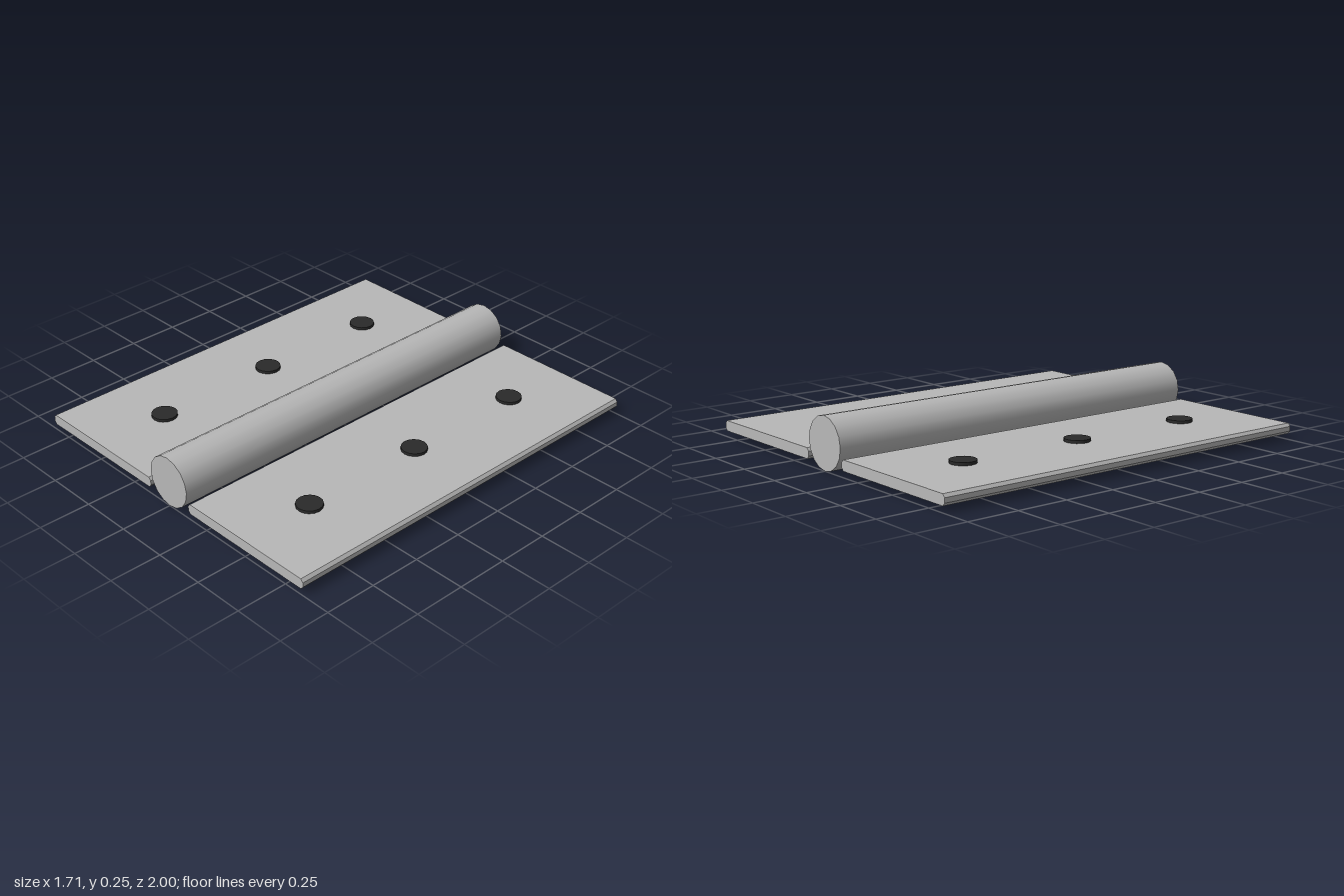
import * as THREE from 'three';

const steel = new THREE.MeshStandardMaterial({ color: 0xb8b8b8 });
steel.name = 'brushed steel';
const dark = new THREE.MeshStandardMaterial({ color: 0x2a2a2a });
dark.name = 'dark screw';

const LENGTH = 2;

// Flat leaf: chamfered cross-section run along the hinge axis
function leafGeometry() {
  const w = 0.725 / 2, h = 0.025, cx = 0.012, cy = 0.014;
  const profile = new THREE.Shape([
    [-w + cx, -h], [w - cx, -h], [w, -h + cy], [w, h - cy],
    [w - cx, h], [-w + cx, h], [-w, h - cy], [-w, -h + cy],
  ].map(([x, y]) => new THREE.Vector2(x, y)));
  const geo = new THREE.ExtrudeGeometry(profile, { depth: LENGTH, bevelEnabled: false });
  return geo.translate(0, 0, -LENGTH / 2);
}

function add(parent, name, geometry, material, x, y, z) {
  const mesh = new THREE.Mesh(geometry, material);
  mesh.name = name;
  mesh.position.set(x, y, z);
  parent.add(mesh);
  return mesh;
}

export function createModel() {
  const hinge = new THREE.Group();
  hinge.name = 'hinge';

  // Central knuckle barrel lying along z
  const barrel = new THREE.CylinderGeometry(0.123, 0.123, LENGTH, 16).rotateX(Math.PI / 2);
  add(hinge, 'barrel', barrel, steel, 0, 0.123, 0);

  // Two leaves, each with a row of three screw heads
  const leaf = leafGeometry();
  const screw = new THREE.CylinderGeometry(0.061, 0.061, 0.02, 16);
  for (const side of [-1, 1]) {
    const half = new THREE.Group();
    half.name = side > 0 ? 'leftHalf' : 'rightHalf';
    add(half, 'leaf', leaf, steel, side * 0.4925, 0.053, 0);
    for (const z of [-0.635, 0, 0.635]) {
      add(half, 'screwHead', screw, dark, side * 0.496, 0.082, z);
    }
    hinge.add(half);
  }
  return hinge;
}
